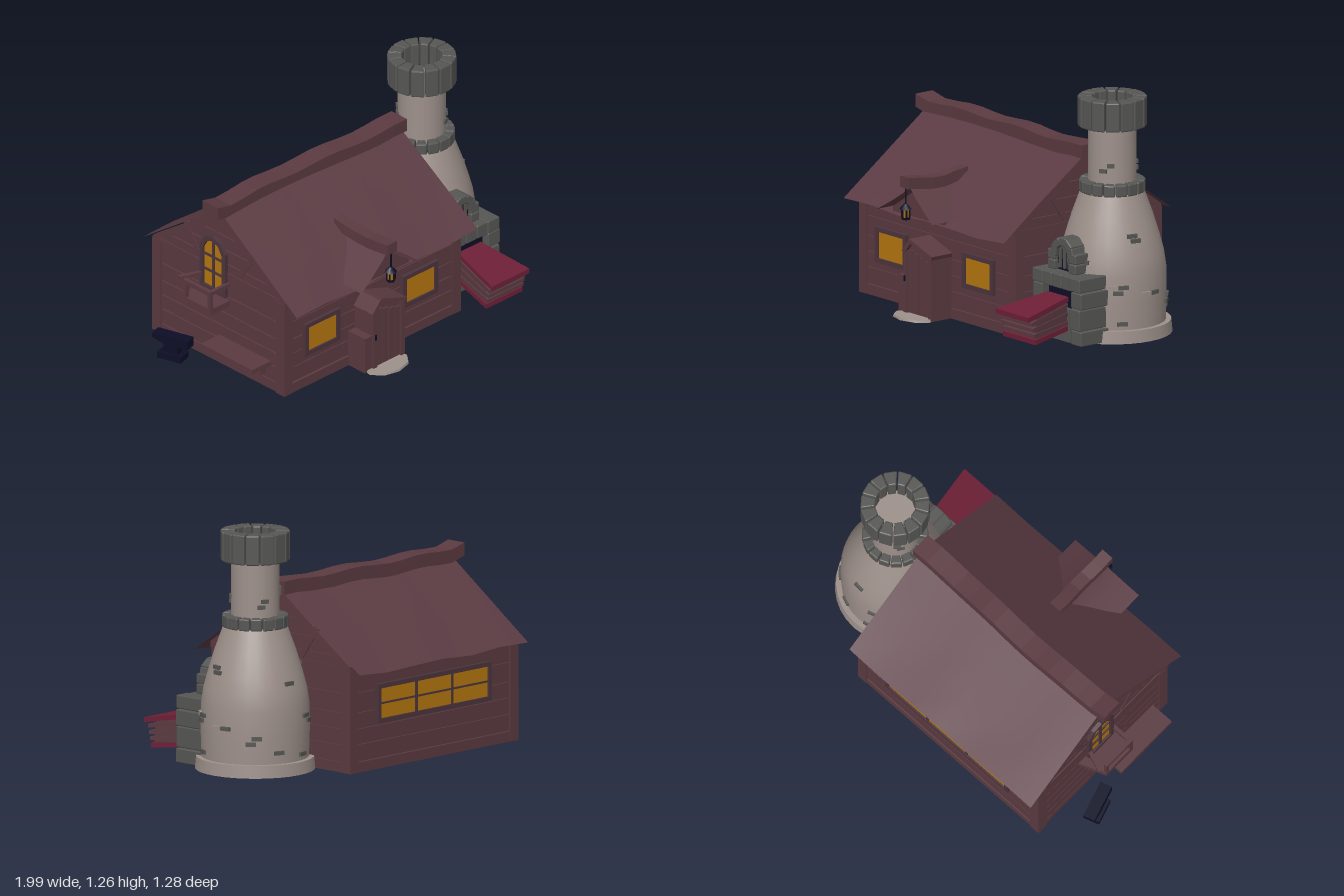
import * as THREE from 'three';
import { RoundedBoxGeometry } from 'three/addons/geometries/RoundedBoxGeometry.js';

const mat = (name, color, side = THREE.FrontSide) => {
  const m = new THREE.MeshStandardMaterial({ color, side });
  m.name = name;
  return m;
};

export function createModel() {
  const wood = mat('wood', 0x5a3a40), roofing = mat('roofing', 0x5b3b43, THREE.DoubleSide);
  const trim = mat('window trim', 0x4c343c), stone = mat('dark stone', 0x565654);
  const plaster = mat('chimney plaster', 0x9d908a), amber = mat('amber glass', 0xb5770f);
  const iron = mat('iron', 0x0d0e26), leather = mat('red leather', 0x6e1f36);
  const model = new THREE.Group();
  let seed = 7;
  const rnd = () => (seed = (seed * 16807) % 2147483647) / 2147483647 - 0.5;

  const add = (name, geo, m, parent = model) => {
    const mesh = new THREE.Mesh(geo, m);
    mesh.name = name;
    parent.add(mesh);
    return mesh;
  };
  const group = (name, x = 0, y = 0, z = 0, ry = 0, parent = model) => {
    const g = new THREE.Group();
    g.name = name;
    g.position.set(x, y, z);
    g.rotation.y = ry;
    parent.add(g);
    return g;
  };
  // Boxes given by their limits
  const box = (name, m, x0, x1, y0, y1, z0, z1, parent) => {
    const b = add(name, new THREE.BoxGeometry(x1 - x0, y1 - y0, z1 - z0), m, parent);
    b.position.set((x0 + x1) / 2, (y0 + y1) / 2, (z0 + z1) / 2);
    return b;
  };
  const block = (name, x0, x1, y0, y1, z0, z1, parent) => {
    const b = add(name, new RoundedBoxGeometry(x1 - x0, y1 - y0, z1 - z0, 1, 0.007), stone, parent);
    b.position.set((x0 + x1) / 2, (y0 + y1) / 2, (z0 + z1) / 2);
    return b;
  };
  const bend = (geo, rule) => {
    const p = geo.attributes.position, v = new THREE.Vector3();
    for (let i = 0; i < p.count; i++) {
      v.fromBufferAttribute(p, i);
      rule(v);
      p.setXYZ(i, v.x, v.y, v.z);
    }
    geo.computeVertexNormals();
    return geo;
  };
  const poly = (pts) => new THREE.Shape(pts.map(([a, b]) => new THREE.Vector2(a, b)));
  // Extrusion of a (z, y) outline along x
  const slab = (name, pts, x0, x1, m, parent) => {
    const g = new THREE.ExtrudeGeometry(poly(pts.map(([z, y]) => [-z, y])), { depth: x1 - x0, bevelEnabled: false });
    return add(name, g.rotateY(Math.PI / 2).translate(x0, 0, 0), m, parent);
  };

  // House body
  const house = group('house');
  slab('houseBody', [[0.395, 0], [-0.555, 0], [-0.555, 0.555], [-0.07, 0.905], [0.395, 0.57]], -0.77, 0.47, wood, house);
  const rows = [0, 0.06, 0.15, 0.235, 0.32, 0.425, 0.54];
  for (let i = 0; i < rows.length - 1; i++) {
    const y0 = rows[i], y1 = rows[i + 1] - 0.006, out = i ? 0 : 0.006;
    box('frontPlank', wood, -0.78, 0.48, y0, y1, 0.38, 0.404 + out, house).rotation.z = i ? rnd() * 0.006 : 0;
    box('backPlank', wood, -0.78, 0.48, y0, y1, -0.566 - out, -0.54, house).rotation.z = i ? rnd() * 0.006 : 0;
  }
  for (const x of [-0.79, 0.43])
    for (const [z0, z1] of [[0.35, 0.412], [-0.575, -0.51]]) box('cornerPost', wood, x, x + 0.06, 0, 0.55, z0, z1, house);

  // Gable planks, rafters and struts at both ends
  const span = (y) => [Math.max(-0.55, -0.07 - (0.9 - y) / 0.72), Math.min(0.39, -0.07 + (0.9 - y) / 0.72)];
  const gableRows = [...rows, 0.62, 0.7, 0.78, 0.86];
  for (const x of [-0.782, 0.465]) {
    for (let i = 0; i < gableRows.length - 1; i++) {
      const y0 = gableRows[i], y1 = gableRows[i + 1] - 0.007, [a, b] = span(y0), [c, d] = span(y1);
      slab('gablePlank', [[b, y0], [a, y0], [c, y1], [d, y1]], x, x + 0.017, wood, house);
    }
    for (const [z, y] of [[0.42, 0.56], [-0.57, 0.55]])
      slab('gableRafter', [[z, y - 0.02], [z, y + 0.015], [-0.07, 0.915], [-0.07, 0.85]], x - 0.008, x + 0.025, wood, house);
    box('gableTie', wood, x - 0.006, x + 0.023, 0.525, 0.565, -0.56, 0.4, house);
    for (const s of [-1, 1]) {
      const strut = box('gableStrut', wood, x - 0.004, x + 0.021, 0.56, 0.76, -0.09 + s * 0.2, -0.06 + s * 0.2, house);
      strut.rotation.x = s * 0.6;
    }
  }

  // Main roof, slightly uneven at the eaves
  for (const [name, z, y] of [['frontRoof', 0.51, 0.515], ['backRoof', -0.64, 0.525]]) {
    const g = new THREE.PlaneGeometry(1, 1, 6, 3);
    add(name, bend(g, (v) => {
      const t = z > 0 ? 0.5 - v.y : 0.5 + v.y, u = v.x + 0.5;
      v.set(-0.795 + u * (1.285 + (z > 0 ? 0.025 * t : 0)), 0.93 + (y - 0.93) * t + 0.008 * t * Math.sin(u * 14), -0.07 + (z + 0.07) * t);
    }), roofing, house);
  }
  const ridge = new THREE.BoxGeometry(1.365, 0.07, 0.115, 14, 1, 1).translate(-0.168, 0.925, -0.08);
  add('ridgeBeam', bend(ridge.toNonIndexed(), (v) => {
    v.y += 0.007 * Math.sin(v.x * 13 + 2) + 0.02 * Math.max(0, -v.x - 0.74) / 0.1;
    v.z += 0.01 * Math.sin(v.x * 4);
  }), wood, house);

  // Small gable over the door
  const porch = group('porch');
  const roofZ = (y) => 0.51 - (y - 0.515) / 0.725;
  for (const s of [-1, 1]) {
    add('porchRoof', bend(new THREE.PlaneGeometry(1, 1, 5, 2), (v) => {
      const t = v.x + 0.5, k = v.y + 0.5, y = 0.7 - 0.155 * Math.pow(t, 0.85);
      const back = roofZ(y) - 0.01, front = 0.565 + 0.035 * t;
      v.set(-0.187 + s * 0.226 * t, y, front + (back - front) * k);
    }), roofing, porch);
  }
  add('porchGable', new THREE.ExtrudeGeometry(poly([[-0.39, 0.525], [0.02, 0.525], [0.02, 0.55], [-0.187, 0.685], [-0.39, 0.55]]),
    { depth: 0.05, bevelEnabled: false }).translate(0, 0, 0.46), wood, porch);
  add('porchRidge', bend(new THREE.BoxGeometry(0.07, 0.06, 0.4, 1, 1, 5).toNonIndexed().translate(-0.187, 0.712, 0.4), (v) => {
    v.y += 0.012 * Math.cos((v.z - 0.4) * 14) * -1 + 0.006;
    v.x += 0.004 * Math.sin(v.z * 20);
  }), wood, porch);

  // Door housing with planks and handle
  const door = group('doorway');
  add('doorHousing', new THREE.ExtrudeGeometry(poly([[-0.255, 0], [-0.05, 0], [-0.05, 0.335], [-0.215, 0.39], [-0.255, 0.34]]),
    { depth: 0.13, bevelEnabled: false }).translate(0, 0, 0.395), wood, door);
  box('sideBlock', wood, -0.32, -0.25, 0, 0.205, 0.4, 0.53, door);
  for (let i = 0; i < 4; i++) {
    const x = -0.235 + i * 0.042;
    box('doorPlank', wood, x, x + 0.037, 0.015, 0.35 - i * 0.013, 0.52, 0.534, door);
  }
  box('doorPost', wood, -0.068, -0.04, 0, 0.335, 0.4, 0.542, door);
  box('doorPost', wood, -0.268, -0.242, 0, 0.345, 0.4, 0.542, door);
  const capR = box('doorRoof', wood, -0.225, -0.03, 0.36, 0.382, 0.4, 0.545, door);
  capR.rotation.z = -0.33;
  const capL = box('doorRoof', wood, -0.285, -0.2, 0.355, 0.377, 0.4, 0.545, door);
  capL.rotation.z = 0.85;
  box('doorHandle', iron, -0.26, -0.25, 0.18, 0.21, 0.54, 0.549, door);
  const step = add('doorStep', new THREE.CylinderGeometry(0.135, 0.14, 0.012, 9), plaster, door);
  step.position.set(-0.175, 0.006, 0.54);
  step.scale.z = 0.71;

  // Lantern hanging from the porch ridge
  const lantern = group('lantern', -0.19, 0.53, 0.59);
  const part = (name, r0, r1, h, y, m) => add(name, new THREE.CylinderGeometry(r0, r1, h, 6), m, lantern).position.setY(y);
  part('lanternBase', 0.026, 0.022, 0.012, 0.006, iron);
  part('lanternGlass', 0.022, 0.018, 0.045, 0.034, amber);
  part('lanternCap', 0.008, 0.034, 0.028, 0.07, iron);
  part('lanternHook', 0.005, 0.005, 0.09, 0.12, iron);
  for (let i = 0; i < 6; i++) {
    const a = (i * Math.PI) / 3, b = add('lanternBar', new THREE.BoxGeometry(0.007, 0.05, 0.007), iron, lantern);
    b.position.set(Math.sin(a) * 0.022, 0.034, Math.cos(a) * 0.022);
  }

  // Rectangular windows, facing +z locally
  const win = (name, x, y, z, ry, w, h, cols, rws) => {
    const g = group(name, x, y, z, ry), t = 0.024;
    box('glass', amber, -w / 2, w / 2, -h / 2, h / 2, 0, 0.008, g);
    for (const s of [-1, 1]) {
      box('frameRail', trim, -w / 2 - t, w / 2 + t, s * (h + t) / 2 - t / 2, s * (h + t) / 2 + t / 2, -0.01, 0.018, g);
      box('frameStile', trim, s * (w + t) / 2 - t / 2, s * (w + t) / 2 + t / 2, -h / 2, h / 2, -0.01, 0.018, g);
    }
    for (let i = 1; i < cols; i++) box('mullion', trim, -w / 2 + (w * i) / cols - 0.008, -w / 2 + (w * i) / cols + 0.008, -h / 2, h / 2, 0, 0.014, g);
    for (let i = 1; i < rws; i++) box('mullion', trim, -w / 2, w / 2, -h / 2 + (h * i) / rws - 0.005, -h / 2 + (h * i) / rws + 0.005, 0, 0.013, g);
  };
  win('frontWindowRight', -0.52, 0.283, 0.406, 0, 0.205, 0.142, 1, 1);
  win('frontWindowLeft', 0.19, 0.283, 0.406, 0, 0.205, 0.142, 1, 1);
  win('backWindow', -0.145, 0.345, -0.568, Math.PI, 0.82, 0.16, 3, 2);

  // Arched window on the gable end
  const arch = (w, h) => poly([[-w, 0], [w, 0], [w, h * 0.78], [w * 0.6, h * 0.95], [0, h], [-w * 0.6, h * 0.95], [-w, h * 0.78]]);
  const archWin = group('archedWindow', -0.784, 0.42, -0.11, -Math.PI / 2);
  const archFrame = arch(0.095, 0.33);
  archFrame.holes.push(new THREE.Path(arch(0.07, 0.28).getPoints().map((p) => p.setY(p.y + 0.025))));
  add('archFrame', new THREE.ExtrudeGeometry(archFrame, { depth: 0.022, bevelEnabled: false }), trim, archWin);
  add('archGlass', new THREE.ShapeGeometry(arch(0.08, 0.3)), amber, archWin).position.set(0, 0.015, 0.008);
  box('archMullion', trim, -0.008, 0.008, 0.02, 0.31, 0, 0.016, archWin);
  for (const y of [0.11, 0.2]) box('archMullion', trim, -0.075, 0.075, y, y + 0.012, 0, 0.015, archWin);

  // Balcony and bench on the gable end
  const balcony = group('balcony');
  add('balconyFloor', bend(new THREE.BoxGeometry(0.15, 0.035, 0.26).translate(-0.85, 0.388, -0.13), (v) => {
    if (v.x < -0.9 && v.z < -0.2) v.z += 0.06;
  }), wood, balcony);
  box('balconyRail', wood, -0.927, -0.905, 0.485, 0.51, -0.2, 0, balcony);
  box('balconySideRail', wood, -0.925, -0.78, 0.487, 0.509, -0.02, 0, balcony);
  box('balconySideRail', wood, -0.925, -0.78, 0.487, 0.509, -0.01, 0.01, balcony).position.z = -0.215;
  balcony.children[3].rotation.y = -0.35;
  for (const z of [-0.2, -0.02]) box('balconyPost', wood, -0.925, -0.905, 0.4, 0.49, z, z + 0.02, balcony);
  box('bench', wood, -0.918, -0.77, 0.142, 0.168, -0.08, 0.305);
  for (const z of [-0.03, 0.24]) box('benchBracket', wood, -0.82, -0.77, 0.08, 0.145, z, z + 0.025);

  // Anvil
  const anvil = group('anvil', -0.93, 0, -0.275, 0.3);
  box('anvilBase', iron, -0.042, 0.042, 0.01, 0.045, -0.07, 0.07, anvil);
  box('anvilWaist', iron, -0.024, 0.024, 0.04, 0.1, -0.042, 0.042, anvil);
  add('anvilTop', bend(new THREE.BoxGeometry(0.066, 0.05, 0.21, 1, 1, 3).toNonIndexed().translate(0, 0.12, 0), (v) => {
    if (v.z < -0.1 && v.y < 0.12) v.y += 0.025;
  }), iron, anvil);

  // Round chimney
  const chimney = group('chimney', 0.685, 0, -0.08);
  const profile = [[0.28, 0.06], [0.284, 0.2], [0.283, 0.34], [0.27, 0.43], [0.246, 0.52], [0.212, 0.63], [0.165, 0.76]];
  add('chimneyBase', new THREE.CylinderGeometry(0.308, 0.314, 0.066, 32), plaster, chimney).position.y = 0.033;
  add('chimneyBody', new THREE.LatheGeometry(profile.map(([r, y]) => new THREE.Vector2(r, y)), 32), plaster, chimney);
  add('chimneyNeck', new THREE.CylinderGeometry(0.125, 0.127, 0.49, 24, 1, true), plaster, chimney).position.y = 0.995;
  add('flueFloor', new THREE.CircleGeometry(0.124, 24).rotateX(-Math.PI / 2), plaster, chimney).position.y = 1.12;
  const ring = (name, n, r0, r1, y0, y1) => {
    for (let i = 0; i < n; i++) {
      const g = group(name, 0, 0, 0, (i / n) * Math.PI * 2, chimney), w = (Math.PI * r1) / n - 0.004;
      const b = block(name + 'Stone', -w, w, y0, y1 - Math.abs(rnd()) * 0.006, r0, r1, g);
      bend(b.geometry, (v) => { if (v.z < 0) v.x *= r0 / r1; });
    }
  };
  ring('collar', 16, 0.115, 0.172, 0.75, 0.816);
  ring('crown', 14, 0.104, 0.179, 1.1, 1.26);

  // Bricks showing through the plaster: angle, height, and 1 for a pale one
  const bricks = [[0.75, 0.91], [1.07, 0.88], [-1.15, 0.9], [-1, 0.87], [0.24, 0.555], [0.17, 0.53], [0.67, 0.295, 1], [0.48, 0.295],
    [0.58, 0.265], [0.02, 0.25, 1], [-0.18, 0.25], [-0.78, 0.205], [-0.67, 0.175], [-1.2, 0.125], [0.5, 0.1], [-1.9, 0.3], [-2.05, 0.27],
    [-2.6, 0.55], [-1.8, 0.1], [-2.4, 0.95], [-2.55, 0.92], [-1.5, 0.48], [-2.7, 0.12], [1.25, 0.42]];
  for (const [a, y, pale] of bricks) {
    const k = profile.findIndex((p) => p[1] > y);
    let r = 0.125;
    if (k > 0) {
      const [r0, y0] = profile[k - 1], [r1, y1] = profile[k];
      r = r0 + ((r1 - r0) * (y - y0)) / (y1 - y0);
    }
    const b = add('brick', new THREE.BoxGeometry(0.02, 0.021, k > 0 ? 0.055 : 0.04), pale ? plaster : stone, chimney);
    b.position.set(Math.cos(a) * r, y, Math.sin(a) * r);
    b.rotation.y = -a;
  }

  // Stone hearth with a small arched grate above
  const hearth = group('hearth');
  const courses = [0.005, 0.085, 0.2, 0.29, 0.365];
  for (let i = 0; i < 4; i++) {
    const j = i % 2 ? 0 : 0.008;
    block('leftPier', 0.795 + j, 0.88 + j, courses[i], courses[i + 1] - 0.003, 0.1, 0.302 - j / 2, hearth);
    block('rightPier', 0.49, 0.575 - j, courses[i], courses[i + 1] - 0.003, 0.08, 0.3 - j / 2, hearth);
  }
  for (let i = 0; i < 3; i++) block('lintelStone', 0.565 + i * 0.08, 0.642 + i * 0.08, 0.285, 0.36, 0.12, 0.295, hearth);
  box('hearthFill', stone, 0.56, 0.81, 0.005, 0.18, 0.12, 0.28, hearth);
  box('fireOpening', iron, 0.56, 0.81, 0.18, 0.29, 0.12, 0.25, hearth);
  for (const x of [0.555, 0.725])
    for (const y of [0.362, 0.416]) block('grateJamb', x, x + 0.058, y, y + 0.052, 0.1, 0.25, hearth);
  for (let i = 0; i < 5; i++) {
    const a = (i - 2) * 0.68, g = group('archStone', 0.67, 0.452, 0, 0, hearth);
    g.rotation.z = a;
    block('archStoneBlock', -0.03, 0.03, 0.045, 0.09, 0.05, 0.25, g);
  }
  box('grateOpening', iron, 0.6, 0.74, 0.362, 0.51, 0.08, 0.222, hearth);
  for (let i = 0; i < 3; i++) {
    const bar = box('grateBar', stone, 0.632 + i * 0.032, 0.644 + i * 0.032, 0.375, 0.505, 0.222, 0.234, hearth);
    bar.rotation.z = (1 - i) * -0.08;
  }

  // Bellows: widening boards with pleats between
  const bellows = group('bellows', 0.68);
  const board = (name, m, yBack, yFront, thick, zFront, scale) => {
    const g = new THREE.BoxGeometry(1, thick, 1).toNonIndexed();
    add(name, bend(g, (v) => {
      const t = v.z + 0.5;
      v.set(v.x * (0.165 + 0.105 * t) * scale, v.y + yBack + (yFront - yBack) * t, 0.28 + (zFront - 0.28) * t);
    }), m, bellows);
  };
  board('topBoard', leather, 0.236, 0.182, 0.026, 0.59, 1);
  board('bottomBoard', leather, 0.08, 0.054, 0.026, 0.542, 0.98);
  for (let i = 0; i < 3; i++) board('pleat', wood, 0.108 + i * 0.047, 0.088 + i * 0.032, 0.02, 0.55 + i * 0.008, 0.97);
  board('bellowsCore', wood, 0.158, 0.118, 0.12, 0.525, 0.88);
  return model;
}
